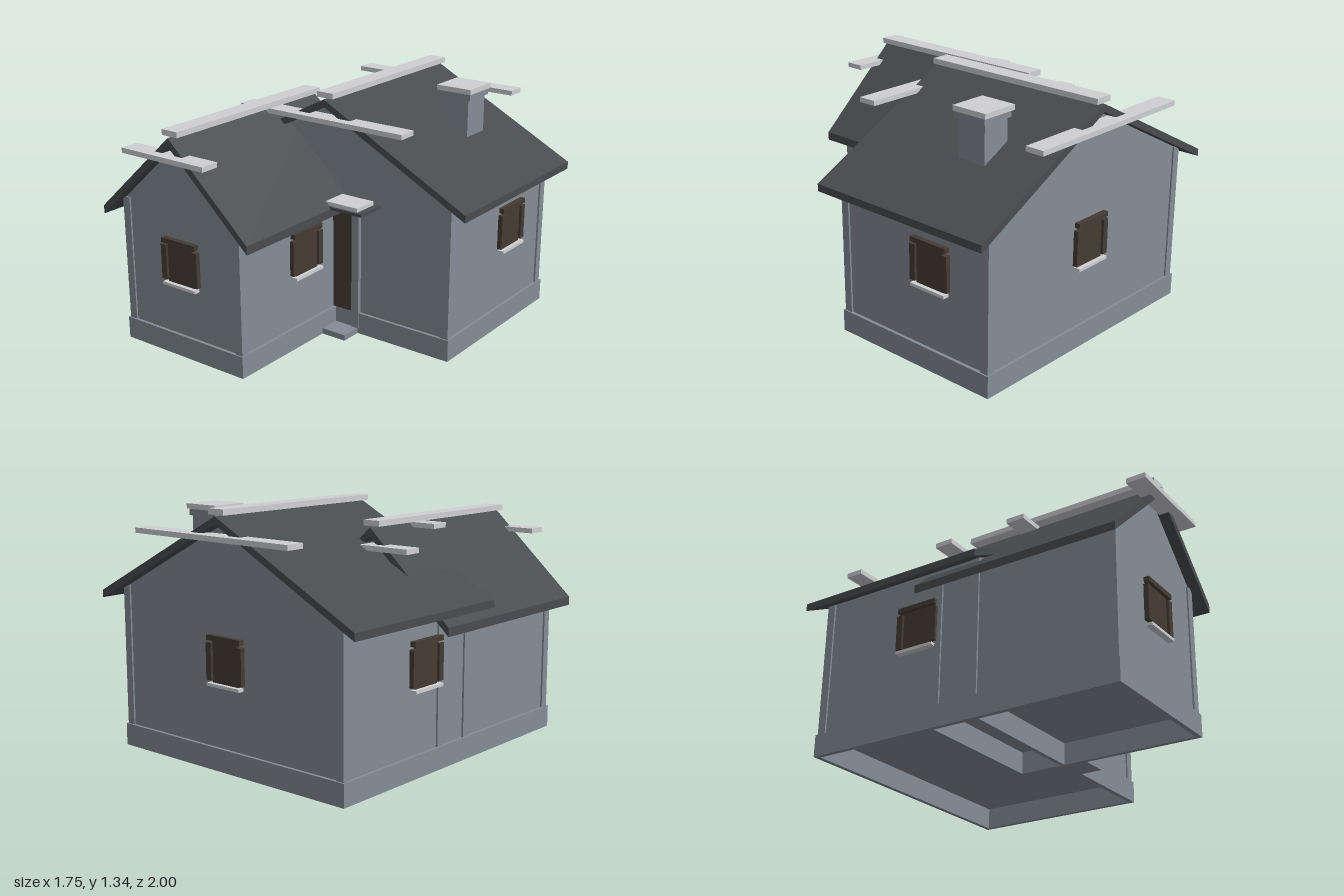
import * as THREE from 'three';

const mat = (name, color) => Object.assign(new THREE.MeshStandardMaterial({ color }), { name });

export function createModel() {
  const house = new THREE.Group();
  house.name = 'house';
  const wall = mat('blue grey wall', 0x848c96);
  const roof = mat('dark slate', 0x494c4f);
  const wood = mat('dark brown wood', 0x453c33);
  const pale = mat('pale grey trim', 0xcfd0d3);

  const add = (name, geometry, material, parent = house) => {
    const mesh = new THREE.Mesh(geometry, material);
    mesh.name = name;
    parent.add(mesh);
    return mesh;
  };

  // Box given by its lower and upper limits on each axis
  const box = (name, m, x0, x1, y0, y1, z0, z1, parent = house) => {
    const mesh = add(name, new THREE.BoxGeometry(x1 - x0, y1 - y0, z1 - z0), m, parent);
    mesh.position.set((x0 + x1) / 2, (y0 + y1) / 2, (z0 + z1) / 2);
    return mesh;
  };

  const polygon = (points) => new THREE.Shape(points.map(([x, y]) => new THREE.Vector2(x, y)));
  const rect = (w, d) => [[-w, -d], [w, -d], [w, d], [-w, d]];
  const prism = (shape, z0, z1) =>
    new THREE.ExtrudeGeometry(shape, { depth: z1 - z0, bevelEnabled: false }).translate(0, 0, z0);

  // One gabled block: hollow plinth, walls, corner posts, roof and pale ridge boards.
  // z0 and z1 are the plinth ends, w its half width.
  function block(name, { cx, w, z0, z1, peak, eave, roofW, thick, postTop, ridgeZ, board }) {
    const g = new THREE.Group();
    g.name = name;
    g.position.x = cx;
    house.add(g);
    const slope = (peak - eave) / roofW;

    const d = (z1 - z0) / 2;
    const ring = polygon(rect(w, d));
    ring.holes.push(polygon(rect(w - 0.025, d - 0.025)));
    const plinth = new THREE.ExtrudeGeometry(ring, { depth: 0.12, bevelEnabled: false });
    plinth.rotateX(-Math.PI / 2).translate(0, 0, (z0 + z1) / 2);
    add('plinth', plinth, wall, g);

    const hw = w - 0.018;
    const under = peak - thick + 0.01;
    add('walls', prism(polygon([
      [-hw, 0.12], [hw, 0.12], [hw, under - slope * hw], [0, under], [-hw, under - slope * hw],
    ]), z0 + 0.017, z1 - 0.017), wall, g);

    // Corner posts stand slightly proud of the walls
    const p = w - 0.008;
    for (const s of [-1, 1]) {
      const [x0, x1] = s < 0 ? [-p, -p + 0.047] : [p - 0.047, p];
      box('cornerPost', wall, x0, x1, 0.12, postTop, z0 + 0.008, z0 + 0.055, g);
      box('cornerPost', wall, x0, x1, 0.12, postTop, z1 - 0.055, z1 - 0.008, g);
    }

    // Roof as one bent slab
    const r0 = z0 - 0.047, r1 = z1 + 0.043;
    add('roof', prism(polygon([
      [-roofW, eave - thick], [0, peak - thick], [roofW, eave - thick],
      [roofW, eave], [0, peak], [-roofW, eave],
    ]), r0, r1), roof, g);

    box('ridgeBoard', pale, -0.051, 0.051, peak + 0.005, peak + 0.035, ...ridgeZ, g);
    const [bw, by] = board;
    box('gableBoard', pale, -bw, bw, by, by + 0.027, r1 - 0.053, r1 + 0.053, g);
    box('gableBoard', pale, -bw, bw, by, by + 0.027, r0 - 0.053, r0 + 0.05, g);
  }

  block('mainHouse', {
    cx: 0, w: 0.775, z0: -0.895, z1: 0.124, peak: 1.302, eave: 0.848, roofW: 0.877,
    thick: 0.04, postTop: 0.885, ridgeZ: [-0.935, 0.155], board: [0.527, 1.186],
  });
  block('frontWing', {
    cx: -0.365, w: 0.41, z0: -0.165, z1: 0.905, peak: 1.212, eave: 0.757, roofW: 0.498,
    thick: 0.046, postTop: 0.815, ridgeZ: [-0.202, 0.935], board: [0.275, 1.1],
  });

  // Shuttered window facing local +z, y at the middle of the pane
  function shutteredWindow(name, x, y, z, turn) {
    const g = new THREE.Group();
    g.name = name;
    g.position.set(x, y, z);
    g.rotation.y = turn;
    house.add(g);
    box('pane', wood, -0.09, 0.09, -0.115, 0.11, 0, 0.012, g);
    box('lintel', wood, -0.117, 0.117, 0.105, 0.132, 0, 0.029, g);
    box('sill', pale, -0.113, 0.113, -0.128, -0.112, 0, 0.035, g);
    for (const s of [-1, 1]) box('shutter', wood, s * 0.106 - 0.018, s * 0.106 + 0.018, -0.1, 0.092, 0, 0.026, g);
  }
  const q = Math.PI / 2;
  shutteredWindow('wingFrontWindow', -0.365, 0.524, 0.888, 0);
  shutteredWindow('wingSideWindow', 0.027, 0.524, 0.37, q);
  shutteredWindow('mainRightWindow', 0.757, 0.57, -0.51, q);
  shutteredWindow('mainLeftWindow', -0.757, 0.57, -0.26, -q);
  shutteredWindow('mainBackWindow', 0, 0.57, -0.878, 2 * q);

  // Entrance tucked into the inner corner
  box('door', wood, 0.02, 0.15, 0.12, 0.697, 0.1, 0.122);
  box('doorPost', wall, 0.155, 0.202, 0.03, 0.71, 0.1, 0.13);
  box('doorLintel', wood, 0.02, 0.21, 0.708, 0.75, 0.1, 0.135);
  box('doorStep', wall, 0.045, 0.195, 0, 0.032, 0.12, 0.245);
  box('canopy', roof, 0.02, 0.33, 0.752, 0.768, 0.1, 0.283);
  box('canopyBoard', pale, 0.085, 0.297, 0.77, 0.792, 0.13, 0.275);

  // Chimney
  box('chimneyShaft', wall, 0.342, 0.505, 0.95, 1.25, -0.622, -0.452);
  box('chimneyCollar', wall, 0.325, 0.52, 1.247, 1.282, -0.632, -0.442);
  box('chimneyCap', pale, 0.315, 0.527, 1.282, 1.31, -0.644, -0.434);

  return house;
}
